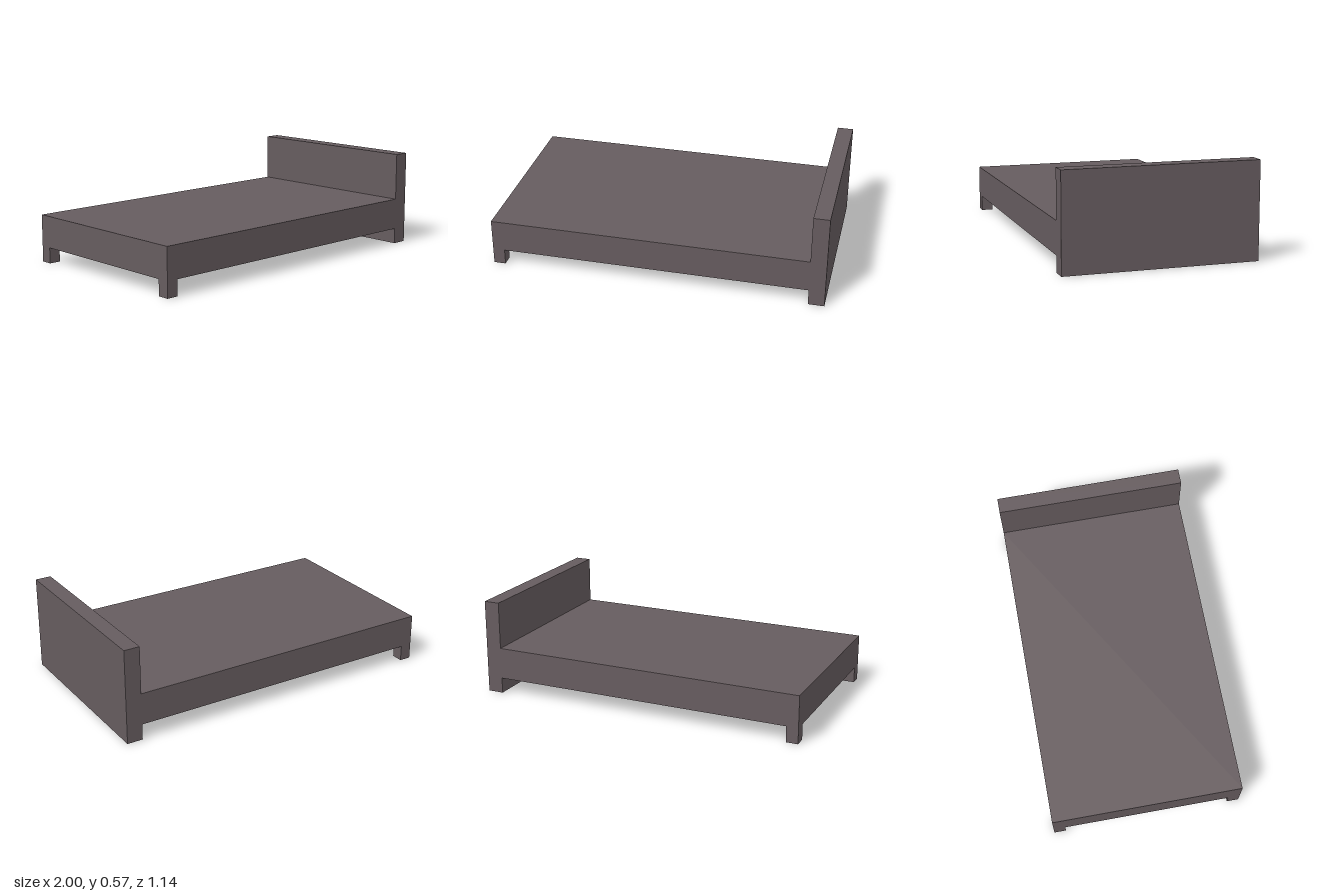
import * as THREE from 'three';

export function createModel() {
  const bed = new THREE.Group();
  bed.name = 'bed';
  const darkWood = new THREE.MeshStandardMaterial({ color: 0x665c5f });
  darkWood.name = 'dark wood';

  const halfDepth = 0.571;
  const frameBottom = 0.095;
  const frameTop = 0.286;
  const boardX = 0.905; // inner face of the headboard
  const legSize = 0.071;

  // Box given by its minimum and maximum corners
  function addBox(name, [x0, y0, z0], [x1, y1, z1]) {
    const geometry = new THREE.BoxGeometry(x1 - x0, y1 - y0, z1 - z0);
    const mesh = new THREE.Mesh(geometry, darkWood);
    mesh.position.set((x0 + x1) / 2, (y0 + y1) / 2, (z0 + z1) / 2);
    mesh.name = name;
    bed.add(mesh);
  }

  // Solid sleeping platform
  addBox('platform', [-1, frameBottom, -halfDepth], [boardX, frameTop, halfDepth]);

  // Full-height headboard that reaches the floor
  addBox('headboard', [boardX, 0, -halfDepth], [1, 0.572, halfDepth]);

  // Square legs at the foot end
  for (const [name, z] of [['frontLeg', halfDepth - legSize], ['backLeg', -halfDepth]]) {
    addBox(name, [-1, 0, z], [-1 + legSize, frameBottom, z + legSize]);
  }

  return bed;
}
